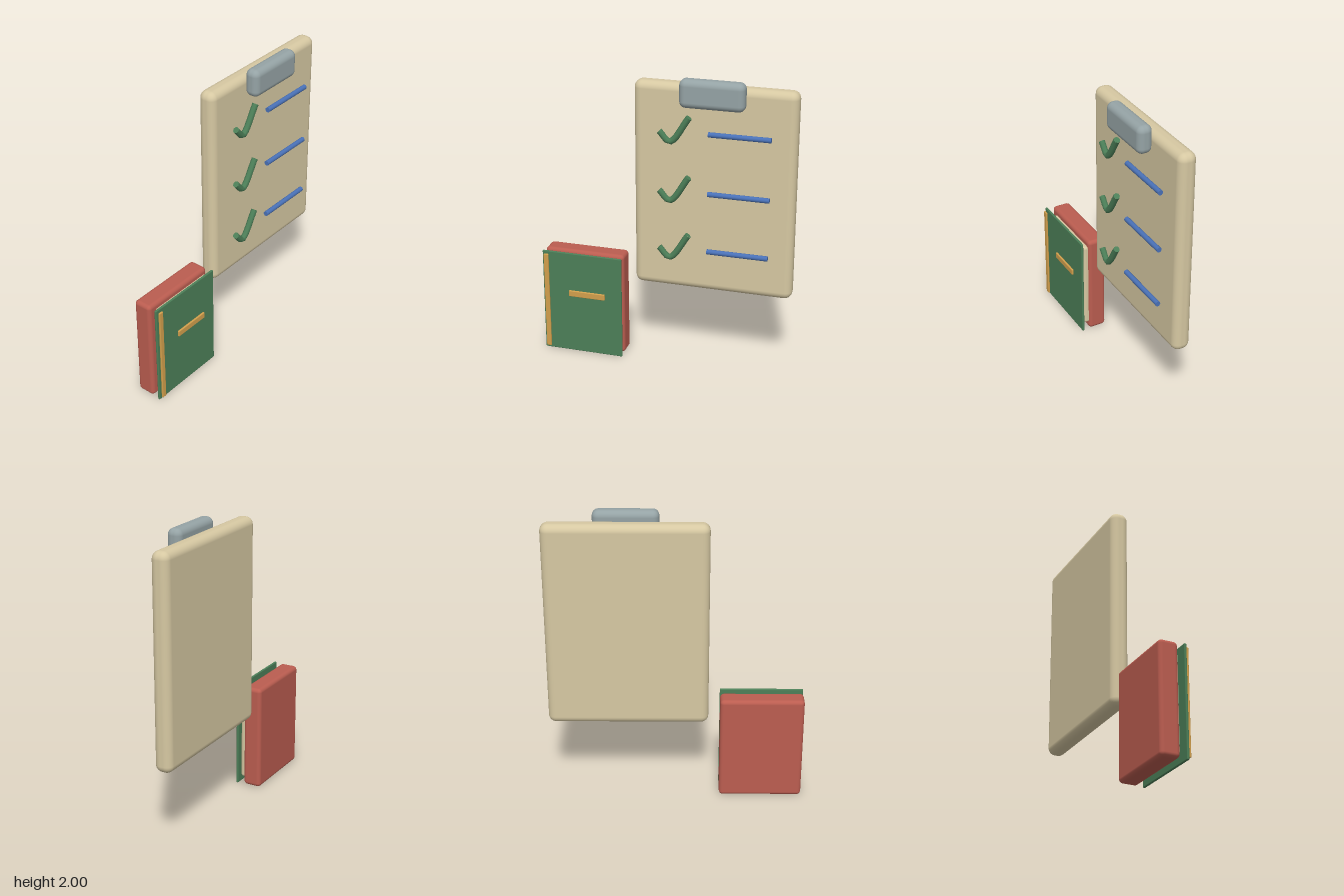
import * as THREE from 'three';
import { RoundedBoxGeometry } from 'three/addons/geometries/RoundedBoxGeometry.js';

const mat = (name, color) => {
  const m = new THREE.MeshStandardMaterial({ color });
  m.name = name;
  return m;
};

export function createModel() {
  const tan = mat('tan', 0xd6c8a2);
  const steel = mat('steel grey', 0x95a3a5);
  const green = mat('green', 0x4c7f58);
  const blue = mat('blue', 0x4a72b8);
  const red = mat('red', 0xbb5d50);
  const gold = mat('gold', 0xd3a04c);

  const model = new THREE.Group();
  model.name = 'clipboardAndBook';
  const clipboard = new THREE.Group();
  clipboard.name = 'clipboard';
  const book = new THREE.Group();
  book.name = 'book';
  model.add(clipboard, book);

  const add = (parent, name, geometry, material, x = 0, y = 0, z = 0) => {
    const mesh = new THREE.Mesh(geometry, material);
    mesh.name = name;
    mesh.position.set(x, y, z);
    parent.add(mesh);
    return mesh;
  };

  // Rounded slab given by its limits on each axis
  const slab = (parent, name, material, [x0, x1], [y0, y1], [z0, z1], radius) =>
    add(parent, name, new RoundedBoxGeometry(x1 - x0, y1 - y0, z1 - z0, 4, radius), material,
      (x0 + x1) / 2, (y0 + y1) / 2, (z0 + z1) / 2);

  // Board and clip
  slab(clipboard, 'board', tan, [-0.213, 0.843], [0.553, 1.947], [-0.105, 0.016], 0.05);
  slab(clipboard, 'clip', steel, [0.105, 0.525], [1.815, 2], [0.004, 0.105], 0.042);

  // Three list rows, each with a tick and a line
  const tickPath = new THREE.CatmullRomCurve3([
    new THREE.Vector3(-0.03, -0.003, 0),
    new THREE.Vector3(0.04, -0.068, 0),
    new THREE.Vector3(0.164, 0.099, 0),
  ]);
  const tickRadius = 0.021;
  const tickGeometry = new THREE.TubeGeometry(tickPath, 12, tickRadius, 8);
  const capGeometry = new THREE.CircleGeometry(tickRadius, 8);
  const lineGeometry = new THREE.CylinderGeometry(0.017, 0.017, 0.4, 12).rotateZ(Math.PI / 2);
  for (let i = 0; i < 3; i++) {
    const y = 1.648 - i * 0.398;
    const tick = add(clipboard, 'tick', tickGeometry, green, 0, y, 0.052);
    for (const end of [0, 1]) {
      const point = tickPath.getPoint(end);
      const outward = tickPath.getTangent(end).multiplyScalar(end ? 1 : -1);
      const cap = add(tick, 'tickEnd', capGeometry, green, point.x, point.y, point.z);
      cap.quaternion.setFromUnitVectors(new THREE.Vector3(0, 0, 1), outward);
    }
    add(clipboard, 'listLine', lineGeometry, blue, 0.49, y, 0.052);
  }

  // Book body, pages and front cover
  slab(book, 'bookBody', red, [-0.845, -0.29], [0, 0.728], [-0.11, 0.018], 0.026);
  slab(book, 'pages', tan, [-0.79, -0.306], [0.047, 0.685], [-0.04, 0.049], 0.02);
  slab(book, 'cover', green, [-0.845, -0.29], [0, 0.728], [0.058, 0.074], 0.006);

  // Gold trim in front of the cover
  slab(book, 'spineStrip', gold, [-0.832, -0.798], [0.02, 0.711], [0.079, 0.093], 0.005);
  slab(book, 'titleBar', gold, [-0.658, -0.404], [0.418, 0.461], [0.079, 0.093], 0.005);

  return model;
}
